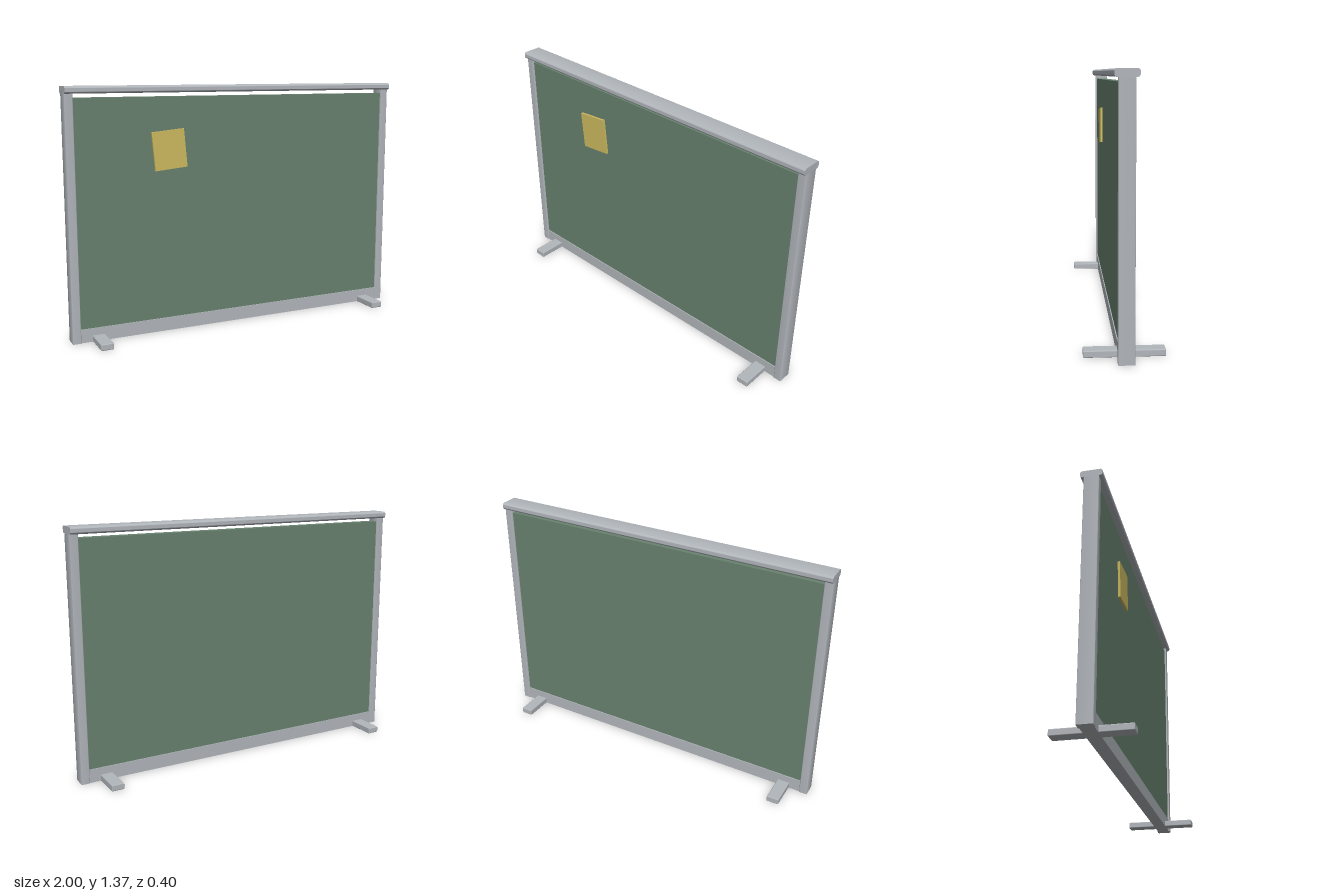
import * as THREE from 'three';
import { RoundedBoxGeometry } from 'three/addons/geometries/RoundedBoxGeometry.js';
import { toCreasedNormals } from 'three/addons/utils/BufferGeometryUtils.js';

const metal = new THREE.MeshStandardMaterial({ name: 'greyMetal', color: 0xb2b7bc });
const green = new THREE.MeshStandardMaterial({ name: 'greenBoard', color: 0x68826f });
const yellow = new THREE.MeshStandardMaterial({ name: 'yellowPaper', color: 0xcdbb60 });

// Bar along an axis with rounded long edges and flat ends
function barGeometry(w, h, length, r) {
  const x = w / 2, y = h / 2;
  const s = new THREE.Shape();
  s.moveTo(-x + r, -y);
  s.lineTo(x - r, -y);
  s.absarc(x - r, -y + r, r, -Math.PI / 2, 0);
  s.lineTo(x, y - r);
  s.absarc(x - r, y - r, r, 0, Math.PI / 2);
  s.lineTo(-x + r, y);
  s.absarc(-x + r, y - r, r, Math.PI / 2, Math.PI);
  s.lineTo(-x, -y + r);
  s.absarc(-x + r, -y + r, r, Math.PI, Math.PI * 1.5);
  const g = new THREE.ExtrudeGeometry(s, { depth: length, bevelEnabled: false, curveSegments: 6 });
  g.translate(0, 0, -length / 2);
  return toCreasedNormals(g, Math.PI / 5);
}

export function createModel() {
  const group = new THREE.Group();
  group.name = 'boardPartition';
  const add = (name, geometry, material, x, y, z) => {
    const mesh = new THREE.Mesh(geometry, material);
    mesh.name = name;
    mesh.position.set(x, y, z);
    group.add(mesh);
    return mesh;
  };

  // Panel, with a narrow gap left under the top rail
  add('panel', new THREE.BoxGeometry(1.91, 1.24, 0.06), green, 0, 0.69, 0);

  // Rails
  add('topRail', barGeometry(0.116, 0.038, 2, 0.012).rotateY(Math.PI / 2), metal, 0, 1.351, 0);
  add('bottomRail', new THREE.BoxGeometry(1.92, 0.075, 0.07), metal, 0, 0.0375, 0);

  // Posts and feet, mirrored
  for (const [side, sx] of [['left', 1], ['right', -1]]) {
    add(side + 'Post', barGeometry(0.046, 0.08, 1.338, 0.004).rotateX(-Math.PI / 2), metal, sx * 0.977, 0.669, 0);
    add(side + 'Foot', new RoundedBoxGeometry(0.07, 0.035, 0.4, 2, 0.005), metal, sx * 0.856, 0.0175, 0);
  }

  // Paper note, slightly tilted
  const note = add('paperNote', new THREE.BoxGeometry(0.187, 0.212, 0.014), yellow, -0.433, 1.023, 0.036);
  note.rotation.z = 0.09;

  return group;
}
